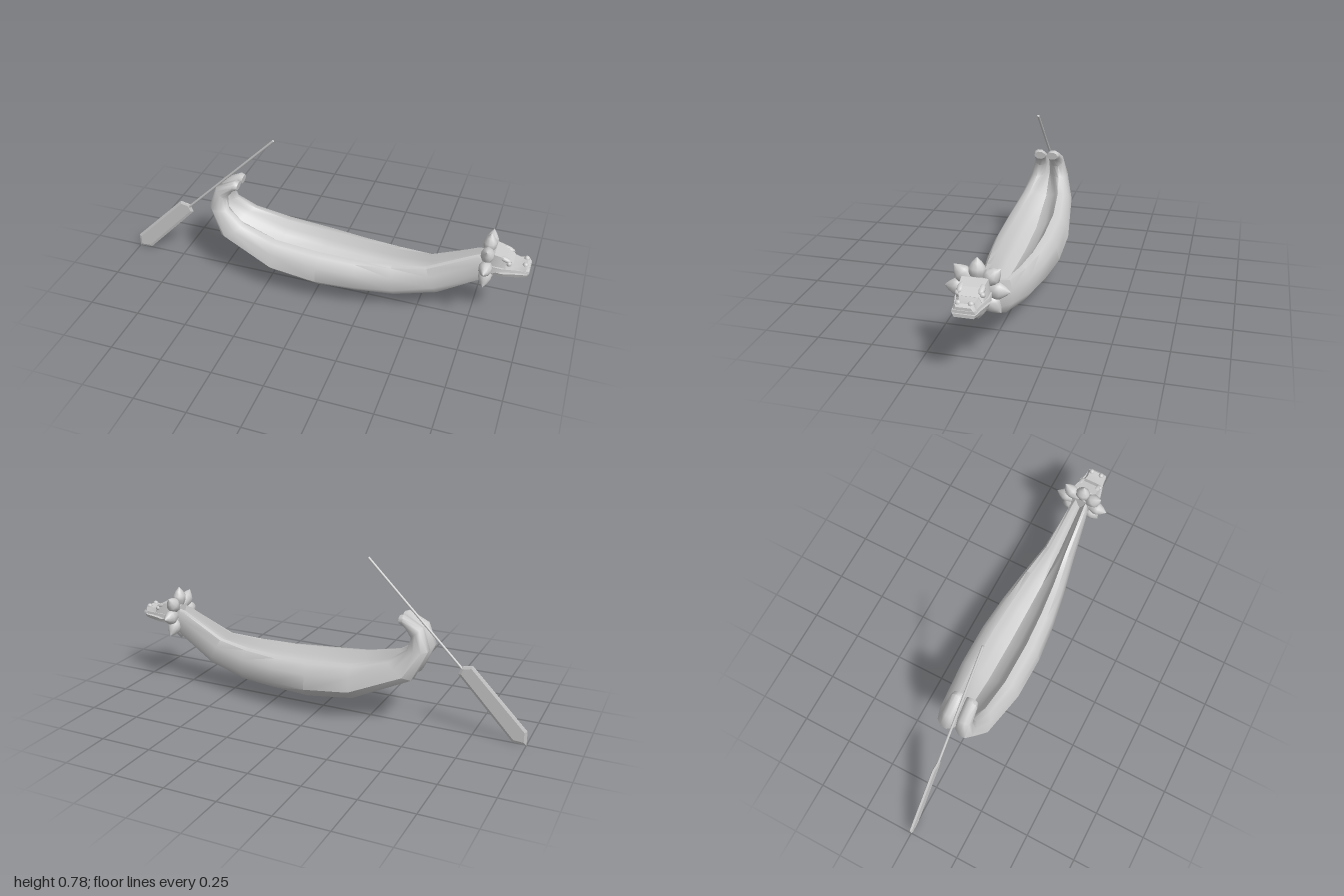
import * as THREE from 'three';
import { toCreasedNormals } from 'three/addons/utils/BufferGeometryUtils.js';

const grey = new THREE.MeshStandardMaterial({ color: 0xcccccc, side: THREE.DoubleSide });

// Closed skin over rings of [x, y, z] points, turned outward by its signed volume
function loft(rings, crease) {
  const n = rings[0].length, pos = rings.flat(2), idx = [];
  for (let r = 0; r < rings.length - 1; r++) {
    for (let i = 0; i < n; i++) {
      const a = r * n + i, b = r * n + (i + 1) % n;
      idx.push(a, b, b + n, a, b + n, a + n);
    }
  }
  [0, rings.length - 1].forEach((r) => {
    const c = pos.length / 3;
    for (let k = 0; k < 3; k++) pos.push(rings[r].reduce((s, p) => s + p[k], 0) / n);
    for (let i = 0; i < n; i++) {
      const a = r * n + i, b = r * n + (i + 1) % n;
      idx.push(...(r ? [c, a, b] : [c, b, a]));
    }
  });
  const at = (i) => new THREE.Vector3().fromArray(pos, i * 3);
  let volume = 0;
  for (let t = 0; t < idx.length; t += 3) volume += at(idx[t]).dot(at(idx[t + 1]).cross(at(idx[t + 2])));
  if (volume < 0) idx.reverse();
  const g = new THREE.BufferGeometry();
  g.setAttribute('position', new THREE.Float32BufferAttribute(pos, 3));
  g.setIndex(idx);
  g.computeVertexNormals();
  return toCreasedNormals(g, crease);
}

function add(parent, name, geometry, x = 0, y = 0, z = 0) {
  const m = new THREE.Mesh(geometry, grey);
  m.name = name;
  m.position.set(x, y, z);
  parent.add(m);
  return m;
}

// Half hull: keel point, top point, width, and how round the section is
const stations = [
  [0.84, 0.3, 0.82, 0.4, 0.04, 0.3],
  [0.78, 0.25, 0.76, 0.39, 0.05, 0.2],
  [0.6, 0.145, 0.54, 0.278, 0.08, 0],
  [0.4, 0.1, 0.38, 0.262, 0.118, 0],
  [0.22, 0.094, 0.21, 0.257, 0.147, 0],
  [0.03, 0.09, 0.03, 0.266, 0.165, 0],
  [-0.2, 0.12, -0.19, 0.285, 0.163, 0],
  [-0.48, 0.25, -0.36, 0.33, 0.13, 0.1],
  [-0.545, 0.39, -0.44, 0.385, 0.095, 0.4],
  [-0.51, 0.495, -0.455, 0.44, 0.075, 0.9],
  [-0.415, 0.542, -0.425, 0.485, 0.068, 1],
  [-0.395, 0.535, -0.4, 0.495, 0.06, 1],
];
// Section from the centre keel, round the outside, over the rim to the floor
const section = [[0, 0.18], [0.32, 0], [0.7, 0.02], [1, 0.3], [0.93, 0.7],
  [0.76, 0.97], [0.54, 1], [0.42, 0.8], [0.28, 0.62], [0, 0.5]];

function hullHalf(side) {
  return loft(stations.map(([bx, by, tx, ty, w, round]) => section.map(([su, sv], i) => {
    const a = -2.6 + i * Math.PI * 2 / section.length;
    const u = THREE.MathUtils.lerp(su, 0.52 + 0.48 * Math.cos(a), round);
    const v = THREE.MathUtils.lerp(sv, 0.5 + 0.5 * Math.sin(a), round);
    return [bx + (tx - bx) * v, by + (ty - by) * v, side * w * u];
  })), 0.95);
}

// Boxy loft along x: [x, bottom, top, half width below, half width above]
function block(sections) {
  return loft(sections.map(([x, y0, y1, w0, w1]) =>
    [[x, y0, -w0], [x, y0, w0], [x, y1, w1], [x, y1, -w1]]), 0.5);
}

function makeHead() {
  const head = new THREE.Group();
  head.name = 'head';
  add(head, 'skull', block([[0.79, 0.32, 0.41, 0.05, 0.045], [0.84, 0.33, 0.425, 0.066, 0.055],
    [0.895, 0.35, 0.412, 0.066, 0.05], [0.925, 0.355, 0.385, 0.058, 0.04]]));
  add(head, 'snout', block([[0.89, 0.355, 0.39, 0.06, 0.045], [0.95, 0.358, 0.38, 0.048, 0.034],
    [0.985, 0.356, 0.385, 0.05, 0.038], [0.997, 0.358, 0.374, 0.042, 0.03]]));
  add(head, 'upperLip', block([[0.82, 0.352, 0.366, 0.066, 0.066], [0.88, 0.352, 0.366, 0.073, 0.07],
    [0.95, 0.35, 0.362, 0.054, 0.052], [1, 0.35, 0.362, 0.048, 0.045]]));
  add(head, 'lowerJaw', block([[0.8, 0.315, 0.338, 0.05, 0.055], [0.88, 0.32, 0.34, 0.064, 0.072],
    [0.95, 0.322, 0.341, 0.048, 0.054], [0.993, 0.328, 0.342, 0.04, 0.046]]));
  add(head, 'mouth', new THREE.BoxGeometry(0.08, 0.03, 0.09), 0.86, 0.346, 0);
  for (const s of [1, -1]) {
    const brow = add(head, 'brow', new THREE.SphereGeometry(0.02, 10, 8), 0.89, 0.403, s * 0.043);
    brow.scale.set(1.5, 0.6, 0.7);
    brow.rotation.z = -0.35;
    add(head, 'eye', new THREE.SphereGeometry(0.012, 10, 8), 0.908, 0.388, s * 0.05);
    add(head, 'nostril', new THREE.SphereGeometry(0.013, 10, 8), 0.978, 0.382, s * 0.026);
    for (const x of [0.93, 0.98]) {
      add(head, 'tooth', new THREE.ConeGeometry(0.006, 0.018, 6), x, 0.347, s * 0.037);
    }
  }
  return head;
}

// Ring of eight plump leaf petals behind the head
function makeMane() {
  const mane = new THREE.Group();
  mane.name = 'mane';
  mane.position.set(0.81, 0.362, 0);
  const profile = [[0, 0.02], [0.022, 0.04], [0.036, 0.075], [0.035, 0.094], [0.02, 0.117], [0, 0.138]]
    .map(([r, y]) => new THREE.Vector2(r, y));
  for (let i = 0; i < 8; i++) {
    const petal = add(mane, 'petal', new THREE.LatheGeometry(profile, 10));
    petal.scale.x = 0.85;
    petal.rotation.x = i * Math.PI / 4;
  }
  return mane;
}

function makeOar() {
  const oar = new THREE.Group();
  oar.name = 'oar';
  const shaft = add(oar, 'shaft', new THREE.CylinderGeometry(0.006, 0.006, 0.7, 8), -0.472, 0.528, 0);
  shaft.rotation.z = -Math.PI / 4;
  const outline = [[-0.735, 0.335], [-0.685, 0.325], [-0.67, 0.285], [-0.935, 0.004], [-1, 0], [-1, 0.066]];
  const shape = new THREE.Shape(outline.map(([x, y]) => new THREE.Vector2(x, y)));
  add(oar, 'blade', new THREE.ExtrudeGeometry(shape, {
    depth: 0.003, bevelEnabled: true, bevelSegments: 1,
    bevelSize: 0.012, bevelOffset: -0.012, bevelThickness: 0.005,
  }), 0, 0, -0.0015);
  return oar;
}

export function createModel() {
  const model = new THREE.Group();
  model.name = 'boat';
  add(model, 'leftHull', hullHalf(1));
  add(model, 'rightHull', hullHalf(-1));
  model.add(makeMane(), makeHead(), makeOar());
  return model;
}
